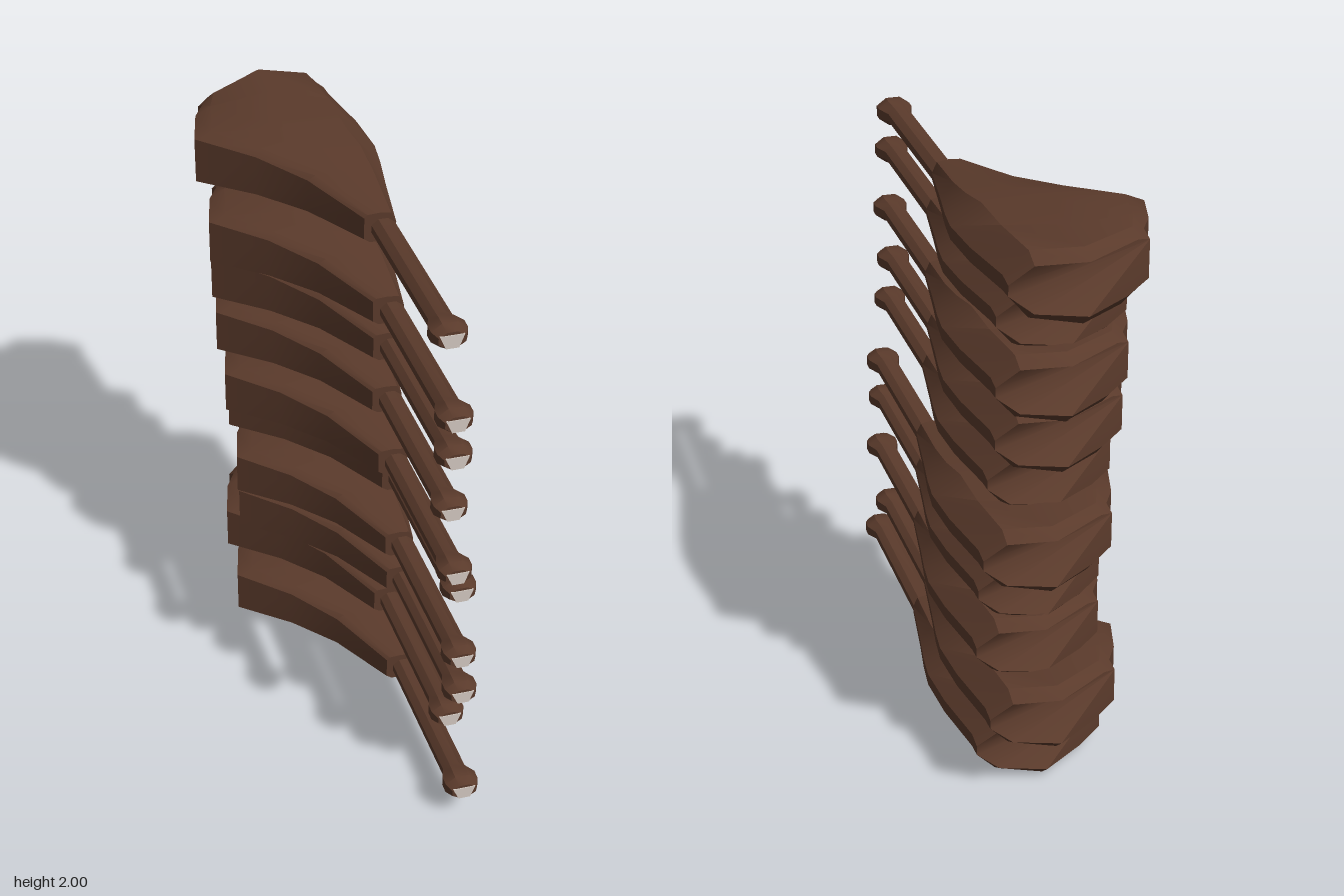
import * as THREE from 'three';
import { toCreasedNormals } from 'three/addons/utils/BufferGeometryUtils.js';

// Skin a list of equal-sized rings (clockwise seen from +z, running towards -z) and cap both ends
function loft(rings, crease) {
  const n = rings[0].length;
  const positions = rings.flat(2);
  const index = [];
  for (let i = 0; i < rings.length - 1; i++) {
    for (let j = 0; j < n; j++) {
      const a = i * n + j, b = i * n + (j + 1) % n;
      index.push(a, b, a + n, b, b + n, a + n);
    }
  }
  const last = (rings.length - 1) * n;
  for (let j = 1; j < n - 1; j++) {
    index.push(0, j + 1, j);
    index.push(last, last + j, last + j + 1);
  }
  const geometry = new THREE.BufferGeometry();
  geometry.setAttribute('position', new THREE.Float32BufferAttribute(positions, 3));
  geometry.setIndex(index);
  return toCreasedNormals(geometry, crease);
}

// Meat outline: u runs across from the thick edge to the thin edge, v up and down
const outline = [
  [0, 0.75], [0.1, 0.95], [0.5, 1], [0.84, 0.9], [1, 0.25],
  [1, -0.15], [0.84, -0.85], [0.5, -1], [0.18, -0.97], [0, -0.7],
];

// Slanted slice of the meat; bulge pushes its middle backwards
function meatRing([xl, zl, xr, zr, bottom, top, bulge]) {
  return outline.map(([u, v]) => [
    xl + (xr - xl) * u,
    v > 0 ? v * top : -v * bottom,
    zl + (zr - zl) * u - bulge * (1 - Math.abs(2 * u - 1)),
  ]);
}

function ovalRing(x, z, rx, ry) {
  return Array.from({ length: 8 }, (_, i) => {
    const a = -(i + 0.5) * Math.PI / 4;
    return [x + rx * Math.cos(a), ry * Math.sin(a), z];
  });
}

export function createModel() {
  const model = new THREE.Group();
  model.name = 'drumstickStack';
  const brown = new THREE.MeshStandardMaterial({ name: 'roastBrown', color: 0x5a3a2b });
  const pale = new THREE.MeshStandardMaterial({ name: 'paleBone', color: 0xd2c8c0 });

  // Meat: narrow neck, wide thigh, rounded rear
  const meatGeometry = loft([
    [0.13, -0.65, 0.235, -0.65, -0.05, 0.055, 0],
    [0.01, -0.89, 0.265, -0.87, -0.078, 0.08, 0],
    [-0.12, -1.05, 0.285, -1.0, -0.092, 0.1, 0],
    [-0.29, -1.2, 0.295, -1.1, -0.105, 0.113, 0],
    [-0.255, -1.34, 0.28, -1.27, -0.118, 0.12, 0.08],
    [-0.215, -1.41, 0.24, -1.48, -0.127, 0.12, 0.1],
    [-0.225, -1.44, 0.24, -1.54, -0.085, 0.09, 0.1],
  ].map(meatRing), 0.6);

  // Bone: knobbed tip and straight shaft
  const boneGeometry = loft([
    ovalRing(0.212, 0, 0.046, 0.03),
    ovalRing(0.212, -0.03, 0.062, 0.046),
    ovalRing(0.212, -0.065, 0.062, 0.046),
    ovalRing(0.208, -0.105, 0.042, 0.034),
    ovalRing(0.19, -0.72, 0.042, 0.034),
  ], 0.6);

  // Exposed bone end: thin plate on the tip
  const endShape = new THREE.Shape([
    new THREE.Vector2(0.172, 0.018), new THREE.Vector2(0.192, -0.028),
    new THREE.Vector2(0.233, -0.028), new THREE.Vector2(0.25, 0.018),
  ]);
  const endGeometry = new THREE.ExtrudeGeometry(endShape, { depth: 0.005, bevelEnabled: false });
  endGeometry.translate(0, 0, -0.002);

  // Each drumstick: x, y, z of the tip, scale
  const placements = [
    [-0.03, 1.88, 0.72, 1],
    [-0.043, 1.68, 0.865, 0.962],
    [-0.02, 1.487, 0.8, 0.975],
    [-0.022, 1.287, 0.8, 0.953],
    [-0.021, 1.092, 0.875, 0.94],
    [0.032, 0.905, 0.755, 0.972],
    [0.018, 0.705, 0.845, 0.94],
    [0.035, 0.515, 0.815, 0.95],
    [0.022, 0.325, 0.72, 0.975],
    [0.028, 0.126, 0.87, 0.987],
  ];
  placements.forEach(([x, y, z, scale], i) => {
    const stick = new THREE.Group();
    stick.name = `drumstick${i + 1}`;
    for (const [name, geometry, material] of [
      ['meat', meatGeometry, brown],
      ['bone', boneGeometry, brown],
      ['boneEnd', endGeometry, pale],
    ]) {
      const mesh = new THREE.Mesh(geometry, material);
      mesh.name = name;
      stick.add(mesh);
    }
    stick.position.set(x, y, z);
    stick.scale.setScalar(scale);
    model.add(stick);
  });
  return model;
}
